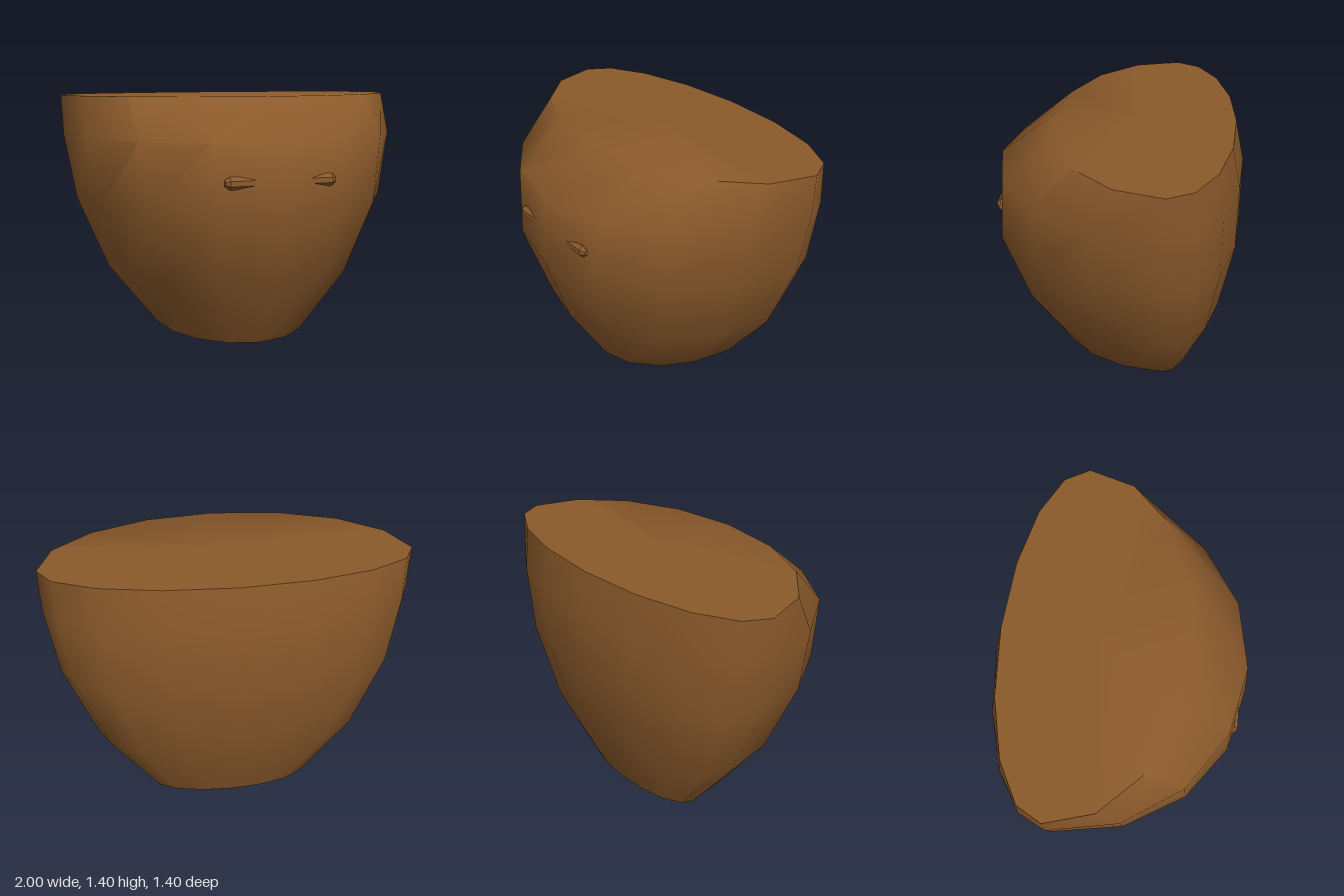
import * as THREE from 'three';
import { toCreasedNormals } from 'three/addons/utils/BufferGeometryUtils.js';

const SIDES = 16;
const AXIS_Z = -0.3;
const CREASE = THREE.MathUtils.degToRad(55);

// Cross-sections: height, half width, front z, back z
const RINGS = [
  [0, 0.45, 0.31, -0.46],
  [0.375, 0.745, 0.55, -0.62],
  [0.8, 0.925, 0.7, -0.7],
  [1.17, 0.99, 0.67, -0.7],
  [1.4, 1.0, 0.365, -0.65],
];

// Closed loft through half-ellipses that share one widest line
function loft(rings) {
  const pos = [];
  const index = [];
  for (const [y, w, front, back] of rings) {
    for (let i = 0; i < SIDES; i++) {
      const a = (i / SIDES) * Math.PI * 2;
      const c = Math.cos(a);
      const depth = c > 0 ? front - AXIS_Z : AXIS_Z - back;
      pos.push(w * Math.sin(a), y, AXIS_Z + depth * c);
    }
  }
  const last = rings.length - 1;
  const bottom = rings.length * SIDES;
  const top = bottom + 1;
  for (const [y, , front, back] of [rings[0], rings[last]]) {
    pos.push(0, y, (front + back) / 2);
  }
  for (let i = 0; i < SIDES; i++) {
    const j = (i + 1) % SIDES;
    for (let r = 0; r < last; r++) {
      const lo = r * SIDES;
      const hi = lo + SIDES;
      index.push(lo + i, lo + j, hi + j, lo + i, hi + j, hi + i);
    }
    index.push(bottom, j, i, top, last * SIDES + i, last * SIDES + j);
  }
  const geo = new THREE.BufferGeometry();
  geo.setAttribute('position', new THREE.Float32BufferAttribute(pos, 3));
  geo.setIndex(index);
  return toCreasedNormals(geo, CREASE);
}

export function createModel() {
  const group = new THREE.Group();
  group.name = 'model';

  const brown = new THREE.MeshStandardMaterial({ color: 0x8b5a2b });
  brown.name = 'brown';

  const body = new THREE.Mesh(loft(RINGS), brown);
  body.name = 'body';
  group.add(body);

  // Small octagonal studs, half sunk into the front, with bevelled outer ends
  const profile = [[0, 0], [0.037, 0], [0.037, 0.165], [0.018, 0.19], [0, 0.19]]
    .map(([r, y]) => new THREE.Vector2(r, y));
  const studGeo = toCreasedNormals(new THREE.LatheGeometry(profile, 8, Math.PI / 8), 0.5);
  for (const side of [1, -1]) {
    const stud = new THREE.Mesh(studGeo, brown);
    stud.name = side > 0 ? 'leftStud' : 'rightStud';
    stud.rotation.z = -side * Math.PI / 2;
    stud.position.set(side * 0.12, 0.967, 0.62);
    group.add(stud);
  }
  return group;
}
